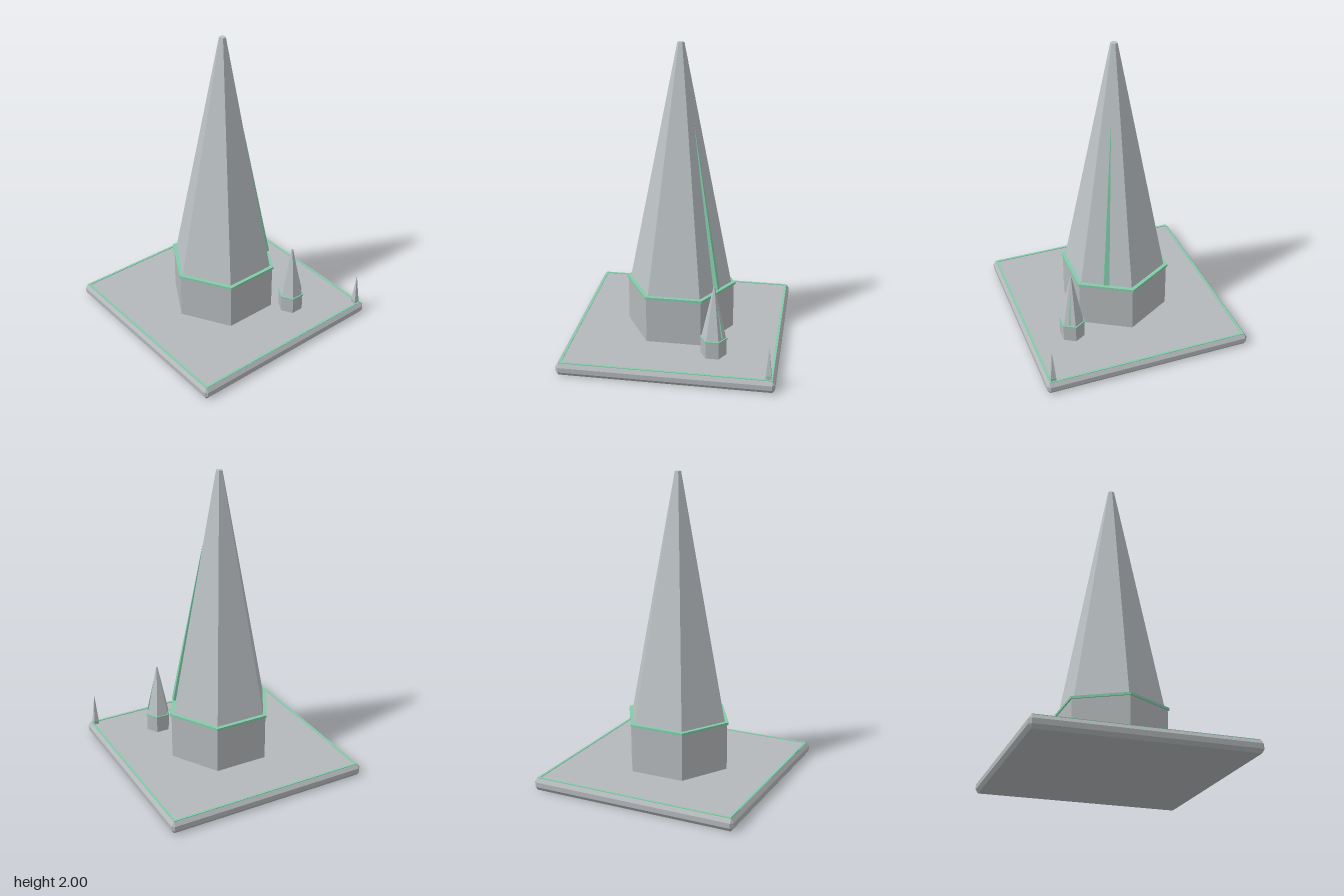
import * as THREE from 'three';
import { ConvexGeometry } from 'three/addons/geometries/ConvexGeometry.js';

const flat = (name, color) => {
  const m = new THREE.MeshStandardMaterial({ color, flatShading: true });
  m.name = name;
  return m;
};

export function createModel() {
  const stone = flat('stone', 0xb4b8ba);
  const paleStone = flat('paleStone', 0xbcc2c5);
  const green = flat('green', 0x84cbaa);

  const model = new THREE.Group();
  model.name = 'spireMonument';

  const add = (parent, name, geometry, material, x = 0, y = 0, z = 0) => {
    const mesh = new THREE.Mesh(geometry, material);
    mesh.name = name;
    mesh.position.set(x, y, z);
    parent.add(mesh);
    return mesh;
  };

  // Ground slab with chamfered edges: the hull of three crossing boxes
  const outer = 0.69, inner = 0.673, top = 0.08, bevel = 0.024;
  const corners = [];
  for (const sx of [-1, 1]) for (const sz of [-1, 1]) for (const up of [0, 1]) {
    const side = up ? top - bevel : bevel;
    corners.push(
      new THREE.Vector3(sx * inner, up * top, sz * inner),
      new THREE.Vector3(sx * outer, side, sz * inner),
      new THREE.Vector3(sx * inner, side, sz * outer));
  }
  add(model, 'slab', new ConvexGeometry(corners), stone);

  // Green inlay along the slab's border
  const strip = 0.015, at = 0.664, h = 0.004;
  for (const s of [-1, 1]) {
    add(model, 'borderStrip', new THREE.BoxGeometry(2 * at + strip, h, strip), green, 0, top + h / 2, s * at);
    add(model, 'borderStrip', new THREE.BoxGeometry(strip, h, 2 * at - strip), green, s * at, top + h / 2, 0);
  }

  // Tower: drum, green collar and tapering spire, standing on the slab
  function tower(name, p) {
    const g = new THREE.Group();
    g.name = name;
    g.position.set(p.x, 0, p.z);
    const prism = (part, rTop, rBottom, y0, y1, material) => add(g, part,
      new THREE.CylinderGeometry(rTop, rBottom, y1 - y0, p.sides, 1, false, p.turn ?? 0),
      material, 0, (y0 + y1) / 2, 0);
    prism('drum', p.drumR, p.drumR, top, p.collarY0, stone);
    prism('collar', p.collarR, p.collarR, p.collarY0, p.collarY1, green);
    prism('spire', p.tipR, p.spireR, p.collarY1, p.tipY, paleStone);

    // Slender green shard lying up the back left face
    if (p.shardR) {
      const apothem = Math.cos(Math.PI / 6);
      const y0 = p.collarY1 + 0.01;
      const y1 = p.collarY1 + 0.7 * (p.tipY - p.collarY1);
      const d0 = p.spireR * apothem + p.shardR * 0.16;
      const d1 = (p.spireR + 0.7 * (p.tipR - p.spireR)) * apothem + p.shardR * 0.1;
      const face = new THREE.Group();
      face.name = 'shardMount';
      face.rotation.y = Math.PI * 5 / 6;
      const shard = add(face, 'shard',
        new THREE.CylinderGeometry(0, p.shardR, Math.hypot(y1 - y0, d0 - d1), 4, 1, false, -0.47),
        green, 0, (y0 + y1) / 2, (d0 + d1) / 2);
      shard.rotation.x = -Math.atan2(d0 - d1, y1 - y0);
      g.add(face);
    }
    model.add(g);
  }

  tower('mainTower', {
    x: 0, z: 0, sides: 6, drumR: 0.355, collarR: 0.365, spireR: 0.337, tipR: 0.022,
    collarY0: 0.387, collarY1: 0.403, tipY: 2, shardR: 0.026,
  });
  tower('smallTower', {
    x: 0.394, z: -0.274, sides: 6, drumR: 0.083, collarR: 0.088, spireR: 0.079, tipR: 0.005,
    collarY0: 0.19, collarY1: 0.2, tipY: 0.55, shardR: 0.007,
  });
  tower('tinyTower', {
    x: 0.644, z: -0.646, sides: 4, turn: Math.PI / 4, drumR: 0.025, collarR: 0.027, spireR: 0.024,
    tipR: 0.001, collarY0: 0.103, collarY1: 0.108, tipY: 0.295,
  });

  return model;
}
